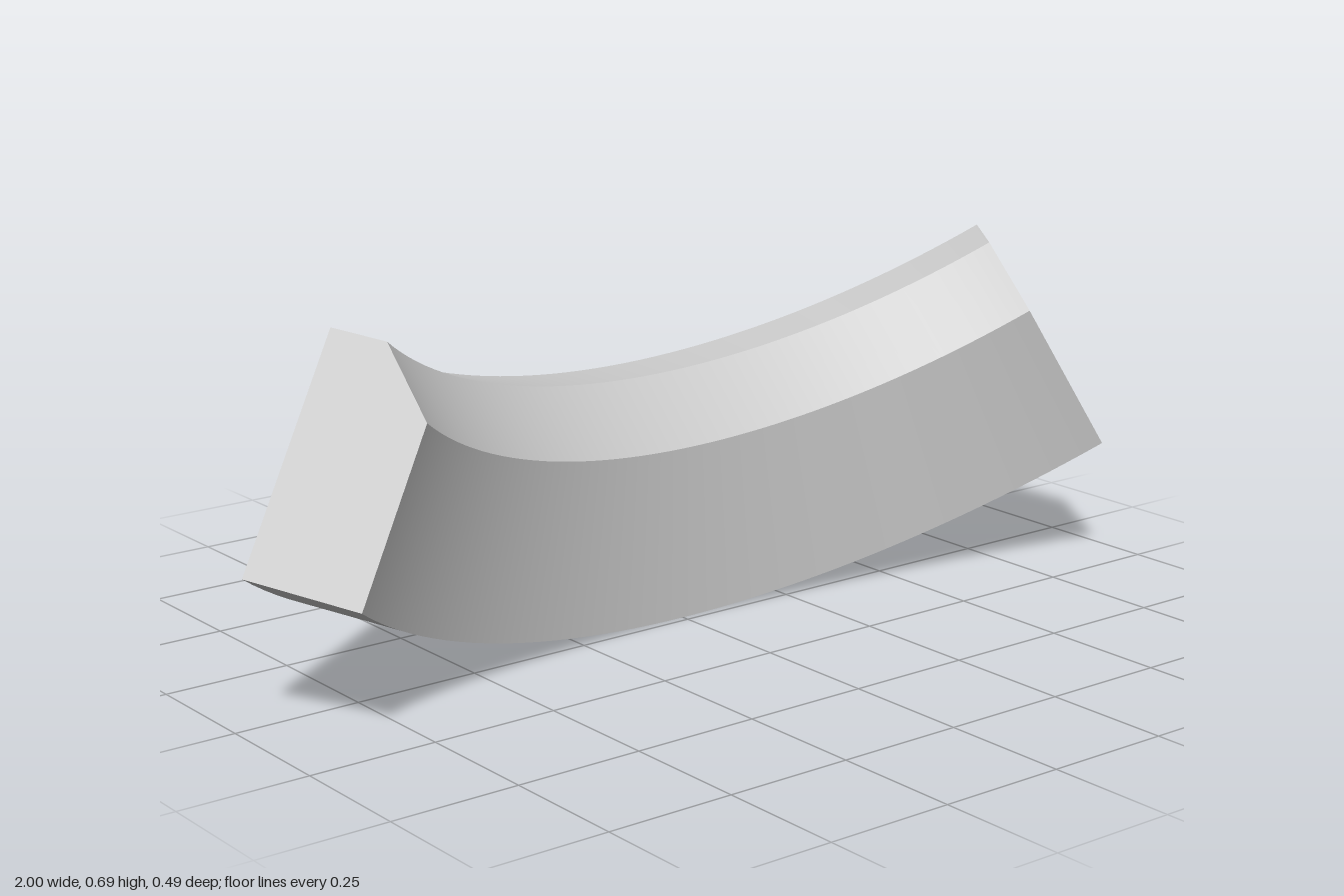
import * as THREE from 'three';
import { mergeGeometries } from 'three/addons/utils/BufferGeometryUtils.js';

const HALF_ANGLE = Math.PI / 4; // the arc spans a quarter turn
const CENTRE = 0.8775; // y and z of the arc's centre
const SEGMENTS = 48;

// Middle cross-section as [z, y], counter-clockwise, with a chamfered front top edge
const SECTION = [[-0.245, 0], [-0.015, 0], [-0.015, 0.341], [-0.135, 0.461], [-0.245, 0.461]];

export function createModel() {
  const group = new THREE.Group();
  group.name = 'curvedBlock';
  const material = new THREE.MeshStandardMaterial({ color: 0xcccccc });

  // The section as radius and height about the tilted axis
  const profile = SECTION.map(([z, y]) => new THREE.Vector2(
    (2 * CENTRE - y - z) * Math.SQRT1_2, (z - y) * Math.SQRT1_2));

  // One smooth band per side, so the edges between them stay sharp
  const bands = profile.map((p, i) => new THREE.LatheGeometry(
    [p, profile[(i + 1) % profile.length]], SEGMENTS, -HALF_ANGLE, 2 * HALF_ANGLE));
  const body = new THREE.Mesh(mergeGeometries(bands), material);
  body.name = 'curvedBody';

  // Flat faces closing the two ends
  const ends = [-1, 1].map((side) => {
    const shape = new THREE.Shape(profile.map((p) => new THREE.Vector2(-side * p.x, p.y)));
    const geometry = new THREE.ShapeGeometry(shape).rotateY(side * (HALF_ANGLE + Math.PI / 2));
    const end = new THREE.Mesh(geometry, material);
    end.name = side > 0 ? 'leftEnd' : 'rightEnd';
    return end;
  });

  // Tilt the arc so its ends rise forward
  const arc = new THREE.Group();
  arc.name = 'tiltedArc';
  arc.add(body, ...ends);
  arc.rotation.x = 0.75 * Math.PI;
  arc.position.set(0, CENTRE, CENTRE);
  group.add(arc);
  return group;
}
